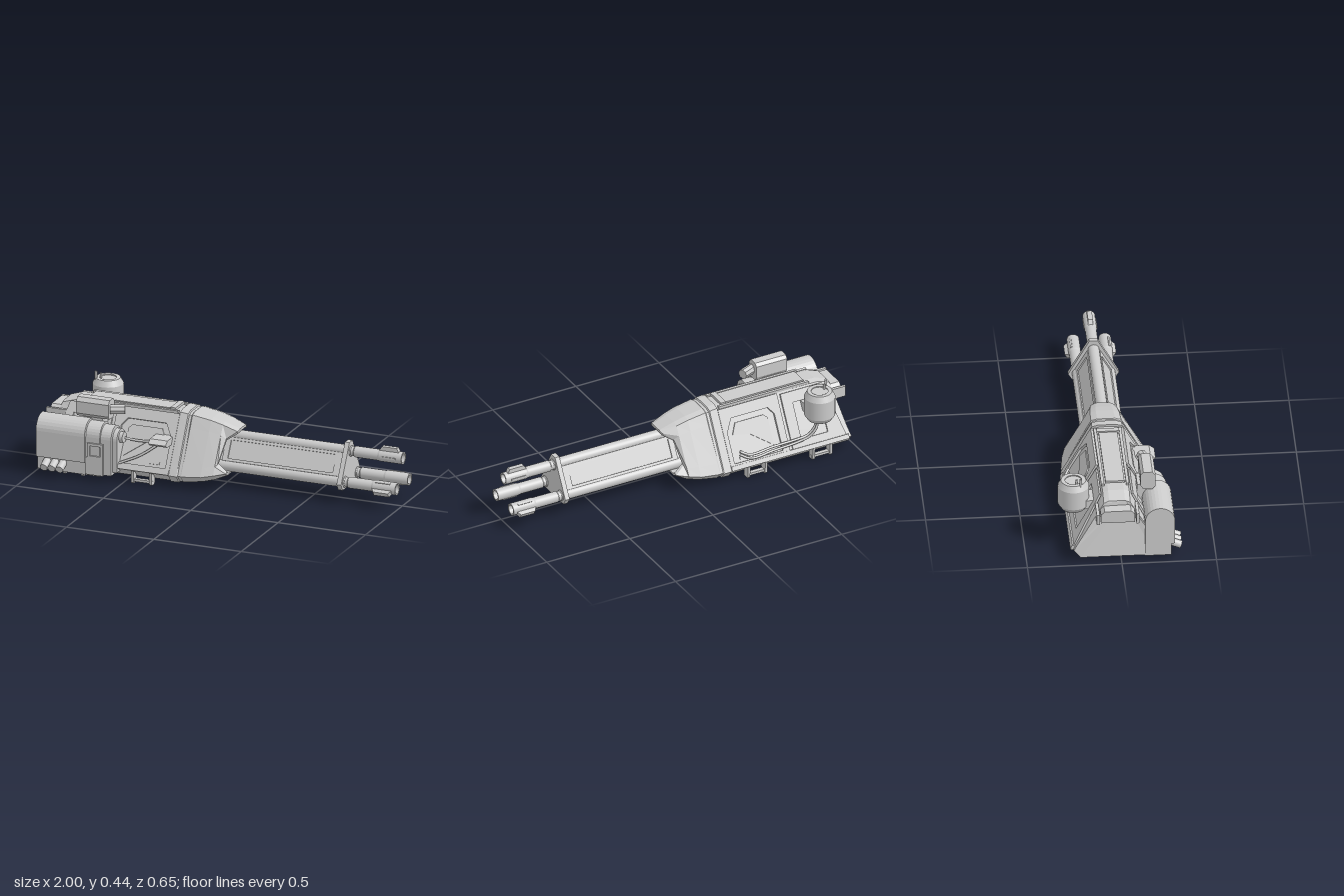
import * as THREE from 'three';

const mat = new THREE.MeshStandardMaterial({ color: 0xcccccc, flatShading: true, side: THREE.DoubleSide });
const smooth = new THREE.MeshStandardMaterial({ color: 0xcccccc, side: THREE.DoubleSide });

function add(parent, name, geo, m = mat) {
  const mesh = new THREE.Mesh(geo, m);
  mesh.name = name;
  parent.add(mesh);
  return mesh;
}
// Box given by its extents on each axis
function box(x0, x1, y0, y1, z0, z1) {
  return new THREE.BoxGeometry(x1 - x0, y1 - y0, z1 - z0)
    .translate((x0 + x1) / 2, (y0 + y1) / 2, (z0 + z1) / 2);
}
const toShape = (pts) => new THREE.Shape(pts.map(([a, b]) => new THREE.Vector2(a, b)));
// Profile of [z, y] points extruded along x
function prism(pts, x0, x1) {
  return new THREE.ExtrudeGeometry(toShape(pts.map(([z, y]) => [-z, y])), { depth: x1 - x0, bevelEnabled: false })
    .rotateY(Math.PI / 2).translate(x0, 0, 0);
}
// Flat plate with optional holes, lying in xy
function plate(pts, holes, depth) {
  const s = toShape(pts);
  s.holes = holes.map(toShape);
  return new THREE.ExtrudeGeometry(s, { depth, bevelEnabled: false });
}
const rect = (x0, x1, y0, y1) => [[x0, y0], [x1, y0], [x1, y1], [x0, y1]];
function tube(pts, r) {
  const curve = new THREE.CatmullRomCurve3(pts.map((p) => new THREE.Vector3(...p)));
  return new THREE.TubeGeometry(curve, 40, r, 8);
}
// Lathe around the x axis from [radius, x] points, with crisp steps between segments
function latheX(pts, seg = 28) {
  const dup = pts.flatMap(([r, x]) => [[r, x], [r, x + 0.0004]]);
  return new THREE.LatheGeometry(dup.map(([r, x]) => new THREE.Vector2(r, x)), seg).rotateZ(-Math.PI / 2);
}

// Hull ring: truncated triangle, twelve corners; xs gives x for the six corners of a half
function ring(xs, top, topHalf, low, lowHalf, bottom, scale = 1) {
  const x = Array.isArray(xs) ? xs : Array(6).fill(xs);
  const sy = top - 0.01;
  const mid = (t) => [topHalf + (lowHalf - topHalf) * t, sy + (low - sy) * t];
  const half = [[topHalf * 0.6, top], mid(0), mid(0.2), mid(0.82), mid(1), [lowHalf - 0.035, bottom]];
  const pts = half.map(([z, y], i) => [x[i], 0.17 + (y - 0.17) * scale, z * scale]);
  return [...pts, ...pts.map(([a, y, z]) => [a, y, -z]).reverse()];
}
function loft(rings) {
  const pos = [];
  const tri = (...v) => v.forEach((p) => pos.push(...p));
  const n = rings[0].length;
  for (let i = 0; i < rings.length - 1; i++) {
    for (let j = 0; j < n; j++) {
      const k = (j + 1) % n, a = rings[i], b = rings[i + 1];
      tri(a[j], a[k], b[k]);
      tri(a[j], b[k], b[j]);
    }
  }
  const s = rings[0], e = rings[rings.length - 1];
  for (let j = 1; j < n - 1; j++) {
    tri(s[0], s[j + 1], s[j]);
    tri(e[0], e[j], e[j + 1]);
  }
  const g = new THREE.BufferGeometry();
  g.setAttribute('position', new THREE.Float32BufferAttribute(pos, 3));
  g.computeVertexNormals();
  return g;
}

function buildHull() {
  const g = new THREE.Group();
  g.name = 'hull';
  add(g, 'rearBody', loft([
    ring([-0.92, -0.925, -0.935, -0.96, -0.97, -0.97], 0.345, 0.07, 0.075, 0.232, 0.03),
    ring(-0.85, 0.368, 0.07, 0.075, 0.232, 0.03),
    ring(-0.24, 0.372, 0.07, 0.075, 0.232, 0.03),
  ]));
  // Front cowl: hollow shell with notched sides
  const lip = [0.08, 0.075, 0.02, 0.0, 0.055, 0.05];
  add(g, 'frontCowl', loft([
    ring(-0.245, 0.384, 0.08, 0.07, 0.243, 0.028),
    ring(-0.2, 0.38, 0.08, 0.07, 0.243, 0.029),
    ring(-0.195, 0.374, 0.077, 0.072, 0.238, 0.034),
    ring(-0.18, 0.373, 0.077, 0.073, 0.238, 0.035),
    ring(-0.175, 0.377, 0.08, 0.072, 0.24, 0.033),
    ring(-0.07, 0.36, 0.077, 0.078, 0.226, 0.045),
    ring(-0.005, 0.342, 0.072, 0.09, 0.208, 0.06),
    ring(lip, 0.312, 0.062, 0.1, 0.178, 0.08),
    ring(lip, 0.312, 0.062, 0.1, 0.178, 0.08, 0.9),
    ring(-0.06, 0.312, 0.062, 0.1, 0.178, 0.08, 0.88),
  ]));
  // Top plates and rear hatch
  add(g, 'topPlate', box(-0.78, -0.3, 0.365, 0.379, -0.05, 0.05));
  add(g, 'topClamp', box(-0.31, -0.28, 0.36, 0.386, -0.06, 0.06));
  add(g, 'rearHatch', prism([[-0.09, 0.25], [0.09, 0.25], [0.09, 0.3], [0.07, 0.32], [-0.07, 0.32], [-0.09, 0.3]], -0.985, -0.85));
  for (const s of [-1, 1]) {
    add(g, 'rearHatchArm', box(-1, -0.88, 0.25, 0.31, s * 0.105 - 0.008, s * 0.105 + 0.008));
    add(g, 'topRail', box(-0.8, -0.26, 0.362, 0.376, s * 0.066 - 0.008, s * 0.066 + 0.008));
  }
  // Sloped armour on both sides: window frame, inner panel, rear plate
  for (const s of [1, -1]) {
    const slope = (name, pts, holes, depth, lift = 0) => {
      const flip = (l) => l.map(([x, y]) => [x * s, y]);
      const geo = plate(flip(pts), holes.map(flip), depth).translate(0, 0, lift)
        .rotateX(-0.49).translate(0, 0.07, 0.23);
      add(g, name, s < 0 ? geo.rotateY(Math.PI) : geo);
    };
    slope('sideFrame', rect(-0.6, -0.245, 0.0, 0.33),
      [[[-0.56, 0.03], [-0.27, 0.03], [-0.27, 0.2], [-0.31, 0.27], [-0.53, 0.27], [-0.56, 0.23]]], 0.014);
    slope('sideInset', [[-0.52, 0.07], [-0.4, 0.16], [-0.3, 0.18], [-0.33, 0.24], [-0.5, 0.24], [-0.52, 0.22]], [], 0.006);
    slope('rearPlate', [[-0.945, 0.0], [-0.62, 0.0], [-0.62, 0.32], [-0.87, 0.32]], [rect(-0.84, -0.68, 0.06, 0.26)], 0.011);
    slope('sillStrip', rect(-0.95, -0.245, -0.005, 0.02), [], 0.02);
    slope('ventSlot', rect(-0.37, -0.31, 0.045, 0.058), [], 0.008);
    // Landing brackets
    for (const x of [-0.79, -0.4]) {
      for (const e of [-1, 1]) {
        add(g, 'bracketLeg', prism([[0.198, 0.05], [0.2, 0.004], [0.205, 0], [0.236, 0], [0.241, 0.005], [0.245, 0.07]].map(([z, y]) => [z * s, y]),
          x + e * 0.052 - 0.007, x + e * 0.052 + 0.007));
      }
      add(g, 'bracketBar', box(x - 0.06, x + 0.06, 0.008, 0.022, s * 0.22 - 0.012, s * 0.22 + 0.012));
    }
  }
  return g;
}

function buildBarrels() {
  const g = new THREE.Group();
  g.name = 'barrelCluster';
  g.position.y = 0.163;
  add(g, 'barrelCore', prism([[0.019, 0.106], [-0.019, 0.106], [-0.1, -0.037], [-0.083, -0.068], [0.083, -0.068], [0.1, -0.037]], -0.06, 0.68));
  add(g, 'barrelClamp', prism([[0.022, 0.15], [-0.022, 0.15], [-0.135, -0.052], [-0.113, -0.088], [0.113, -0.088], [0.135, -0.052]], 0.672, 0.698));
  for (let i = 0; i < 3; i++) {
    const unit = new THREE.Group();
    unit.name = 'barrelUnit';
    unit.rotation.x = (i * Math.PI * 2) / 3;
    g.add(unit);
    add(unit, 'barrel', latheX([[0.03, -0.06], [0.03, 0.7], [0.026, 0.705], [0.026, 0.72], [0.03, 0.725],
      [0.03, 0.86], [0.033, 0.87], [0.033, 0.998], [0.025, 0.998], [0.025, 0.8], [0, 0.8]]).translate(0, 0.097, 0), smooth);
    add(unit, 'muzzleFin', plate([[0.86, 0.12], [0.98, 0.12], [0.965, 0.15], [0.88, 0.15]], [], 0.026).translate(0, 0, -0.013));
    for (const s of [-1, 1]) add(unit, 'muzzleRib', box(0.88, 0.965, 0.092, 0.102, s * 0.033 - 0.003, s * 0.033 + 0.003));
    // Framed recess between two neighbouring barrels
    add(unit, 'coreFrame', plate(rect(0.0, 0.67, -0.065, 0.065), [rect(0.03, 0.63, -0.05, 0.05)], 0.009)
      .rotateX(Math.PI / 2).translate(0, -0.067, 0));
  }
  return g;
}

// Arched box profile
function arch(z0, z1, y0, y1) {
  const c = (z0 + z1) / 2, r = (z1 - z0) / 2, pts = [[z0, y0], [z1, y0]];
  for (let i = 0; i <= 14; i++) {
    const a = (i / 14) * Math.PI;
    pts.push([c + r * Math.cos(a), y1 - r + r * Math.sin(a)]);
  }
  return pts;
}

function buildAmmoBox() {
  const g = new THREE.Group();
  g.name = 'ammoBox';
  add(g, 'boxBase', prism(arch(0.125, 0.265, 0.028, 0.31), -0.975, -0.62));
  add(g, 'boxCover', prism(arch(0.125, 0.283, 0.1, 0.322), -0.978, -0.7));
  add(g, 'boxStep', prism(arch(0.125, 0.255, 0.035, 0.298), -0.62, -0.56));
  add(g, 'boxEnd', prism(arch(0.125, 0.235, 0.05, 0.28), -0.56, -0.535));
  add(g, 'feedPort', new THREE.CylinderGeometry(0.03, 0.03, 0.03, 20).rotateZ(Math.PI / 2).translate(-0.53, 0.235, 0.18), smooth);
  add(g, 'latchPlate', plate([[-0.7, 0.035], [-0.6, 0.035], [-0.6, 0.21], [-0.69, 0.21], [-0.69, 0.13], [-0.7, 0.13]],
    [rect(-0.675, -0.615, 0.14, 0.195)], 0.012).translate(0, 0, 0.262));
  // Angled nozzles at the bottom of the box
  for (const x of [-0.92, -0.875, -0.83]) {
    add(g, 'nozzle', new THREE.CylinderGeometry(0.021, 0.021, 0.08, 18).rotateX(Math.PI / 2 + 0.4).translate(x, 0.07, 0.28), smooth);
  }
  return g;
}

function buildSight() {
  const g = new THREE.Group();
  g.name = 'sight';
  add(g, 'sightBody', prism([[0.115, 0.345], [0.115, 0.41], [0.13, 0.427], [0.178, 0.427], [0.195, 0.405], [0.195, 0.34], [0.178, 0.322], [0.13, 0.322]], -0.785, -0.6));
  add(g, 'sightStand', box(-0.75, -0.64, 0.22, 0.33, 0.1, 0.178));
  add(g, 'lensTube', new THREE.CylinderGeometry(0.027, 0.027, 0.08, 8).rotateX(Math.PI / 8).rotateZ(Math.PI / 2)
    .translate(-0.565, 0.376, 0.152));
  return g;
}

function buildCanister() {
  const g = new THREE.Group();
  g.name = 'canister';
  const profile = [[0, 0.235], [0.066, 0.235], [0.083, 0.262], [0.083, 0.368], [0.066, 0.4], [0.045, 0.4], [0.045, 0.394], [0, 0.394]];
  const tank = latheX(profile, 32).rotateZ(Math.PI / 2);
  add(g, 'tank', tank.translate(-0.785, 0, -0.24), smooth);
  add(g, 'spout', new THREE.CylinderGeometry(0.007, 0.007, 0.05, 12).translate(-0.84, 0.411, -0.205), smooth);
  add(g, 'valve', new THREE.CylinderGeometry(0.006, 0.006, 0.04, 12).translate(-0.82, 0.403, -0.226), smooth);
  add(g, 'tankMount', box(-0.84, -0.73, 0.25, 0.3, -0.2, -0.12));
  // Twin hoses down to the hull side and forward
  for (const d of [0, 0.018]) {
    add(g, 'hose', tube([[-0.76, 0.24, -0.265 + d / 2], [-0.745, 0.2, -0.275 + d], [-0.71, 0.155, -0.265 + d],
      [-0.65, 0.13 + d, -0.25], [-0.5, 0.125 + d, -0.257 + d / 2], [-0.36, 0.12 + d, -0.262 + d / 2], [-0.31, 0.14 + d, -0.23]], 0.007), smooth);
  }
  return g;
}

export function createModel() {
  const model = new THREE.Group();
  model.name = 'rotaryCannon';
  const core = new THREE.Group();
  core.name = 'cannonCore';
  core.position.z = -0.02;
  core.add(buildHull(), buildBarrels());
  model.add(core, buildAmmoBox(), buildSight(), buildCanister());
  // Side lamp and its struts
  add(model, 'sideLamp', prism([[0.09, 0.217], [0.2, 0.217], [0.228, 0.235], [0.2, 0.255], [0.1, 0.255]], -0.36, -0.26));
  add(model, 'lampStrut', tube([[-0.53, 0.23, 0.17], [-0.44, 0.22, 0.16], [-0.33, 0.23, 0.16]], 0.007), smooth);
  add(model, 'lowerStrut', tube([[-0.53, 0.1, 0.21], [-0.42, 0.15, 0.185], [-0.32, 0.22, 0.15]], 0.007), smooth);
  return model;
}
